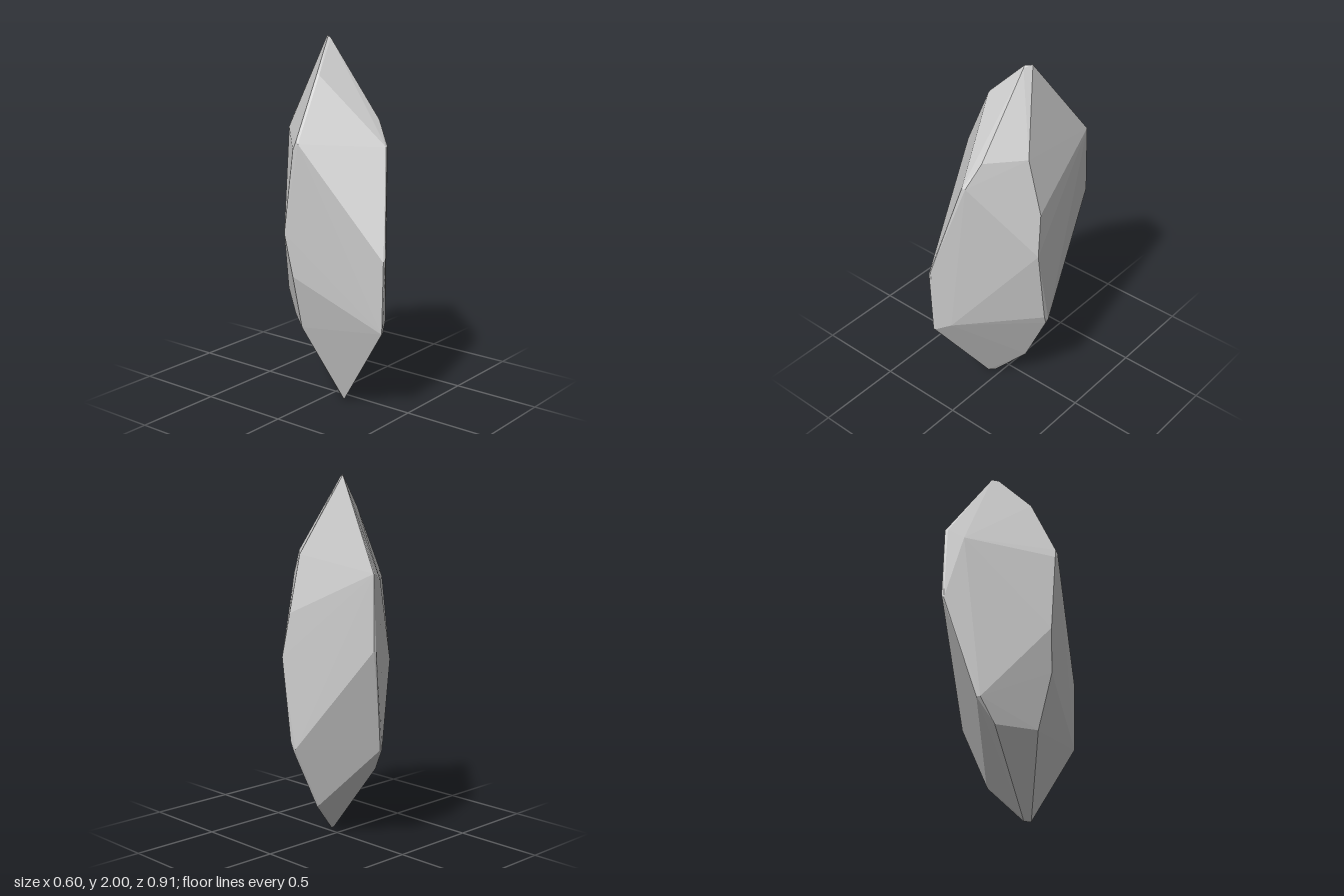
import * as THREE from 'three';
import { ConvexGeometry } from 'three/addons/geometries/ConvexGeometry.js';

// Corners of one half of the crystal; the other half is its reflection through the centre.
const halfCorners = [
  // blunt tip
  [0.035, 2, -0.08], [0.065, 2, -0.11], [0.04, 1.99, -0.066],
  // bevelled shoulder running down to the side
  [-0.14, 1.82, -0.015], [-0.14, 1.81, 0],
  [-0.295, 1.485, -0.03], [-0.3, 1.465, -0.015], [-0.3, 1.43, -0.05],
  // sharp rear corner
  [0.16, 1.515, -0.44], [0.175, 1.515, -0.445], [0.08, 1.47, -0.4],
  [0.18, 1.12, -0.455], [0.165, 1.1, -0.457],
  // upper end of the front ridge
  [-0.02, 1.45, 0.35], [0, 1.45, 0.345], [0.04, 1.58, 0.26],
  // side ridge
  [0.2, 1.58, 0.08], [0.28, 1.27, 0.075], [0.3, 1.03, 0.115],
];

export function createModel() {
  const group = new THREE.Group();
  group.name = 'crystal';

  const points = [];
  for (const [x, y, z] of halfCorners) {
    points.push(new THREE.Vector3(x, y, z), new THREE.Vector3(-x, 2 - y, -z));
  }

  // Faceted stone body
  const stone = new THREE.Mesh(
    new ConvexGeometry(points),
    new THREE.MeshStandardMaterial({ color: 0xcccccc, flatShading: true })
  );
  stone.name = 'stone';
  group.add(stone);
  return group;
}
